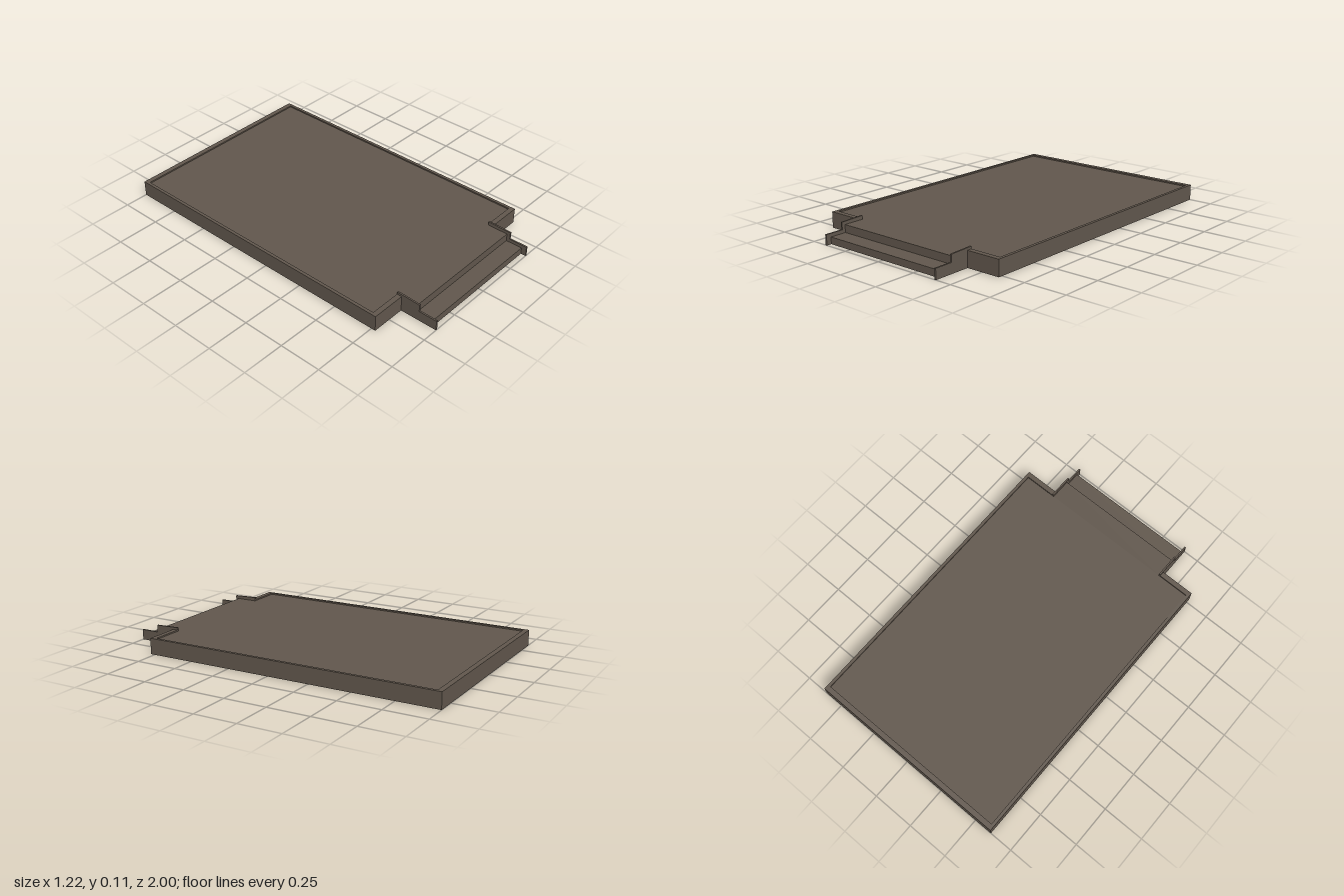
import * as THREE from 'three';

const brown = new THREE.MeshStandardMaterial({ color: 0x60564c, side: THREE.DoubleSide });
brown.name = 'brown';

const RIM = 0.093, FLOOR = 0.085, STEP = 0.04;

// Flat-sided sheet stretched between two polylines of [x, y, z] points
function sheet(name, a, b) {
  const pos = [];
  for (let i = 0; i < a.length - 1; i++) {
    pos.push(...a[i], ...b[i], ...b[i + 1], ...a[i], ...b[i + 1], ...a[i + 1]);
  }
  const geo = new THREE.BufferGeometry();
  geo.setAttribute('position', new THREE.Float32BufferAttribute(pos, 3));
  geo.computeVertexNormals();
  const mesh = new THREE.Mesh(geo, brown);
  mesh.name = name;
  return mesh;
}

// Plan outline running round the deck from one side of the front opening to the other
const outline = (x, back, front, y) => [
  [0.4, y, front], [x, y, front], [x, y, back],
  [-x, y, back], [-x, y, front], [-0.4, y, front],
];

export function createModel() {
  const group = new THREE.Group();
  group.name = 'steppedDeck';

  // Thin outer skirt, its folded lip and the small drop to the floor
  const outer = (y) => outline(0.61, -1, 0.775, y);
  const inner = (y) => outline(0.592, -0.97, 0.745, y);
  group.add(sheet('outerWall', outer(0), outer(RIM)));
  group.add(sheet('rimLip', outer(RIM), inner(RIM)));
  group.add(sheet('rimDrop', inner(RIM), inner(FLOOR)));

  // Floor panel
  group.add(sheet('floor',
    [[-0.592, FLOOR, -0.97], [0.592, FLOOR, -0.97]],
    [[-0.592, FLOOR, 0.745], [0.592, FLOOR, 0.745]]));

  // Support panel below the front opening
  group.add(sheet('supportPanel',
    [[-0.4, FLOOR, 0.745], [0.4, FLOOR, 0.745]],
    [[-0.4, 0, 0.745], [0.4, 0, 0.745]]));

  // Folded landing, riser, tread and lower riser
  const profile = [[FLOOR, 0.745], [FLOOR, 0.87], [STEP, 0.87], [STEP, 0.97], [0, 0.97]];
  group.add(sheet('steps',
    profile.map(([y, z]) => [-0.397, y, z]),
    profile.map(([y, z]) => [0.397, y, z])));

  // Stepped cheek plates on both sides of the steps
  const cheek = new THREE.Shape([
    [-0.745, 0], [-1, 0], [-1, 0.06], [-0.89, 0.06], [-0.89, 0.102], [-0.745, 0.107],
  ].map(([u, v]) => new THREE.Vector2(u, v)));
  const cheekGeo = new THREE.ExtrudeGeometry(cheek, { depth: 0.01, bevelEnabled: false });
  cheekGeo.translate(0, 0, -0.005).rotateY(Math.PI / 2);
  for (const side of [1, -1]) {
    const mesh = new THREE.Mesh(cheekGeo, brown);
    mesh.name = side > 0 ? 'leftStepCheek' : 'rightStepCheek';
    mesh.position.x = side * 0.4;
    group.add(mesh);
  }

  return group;
}
